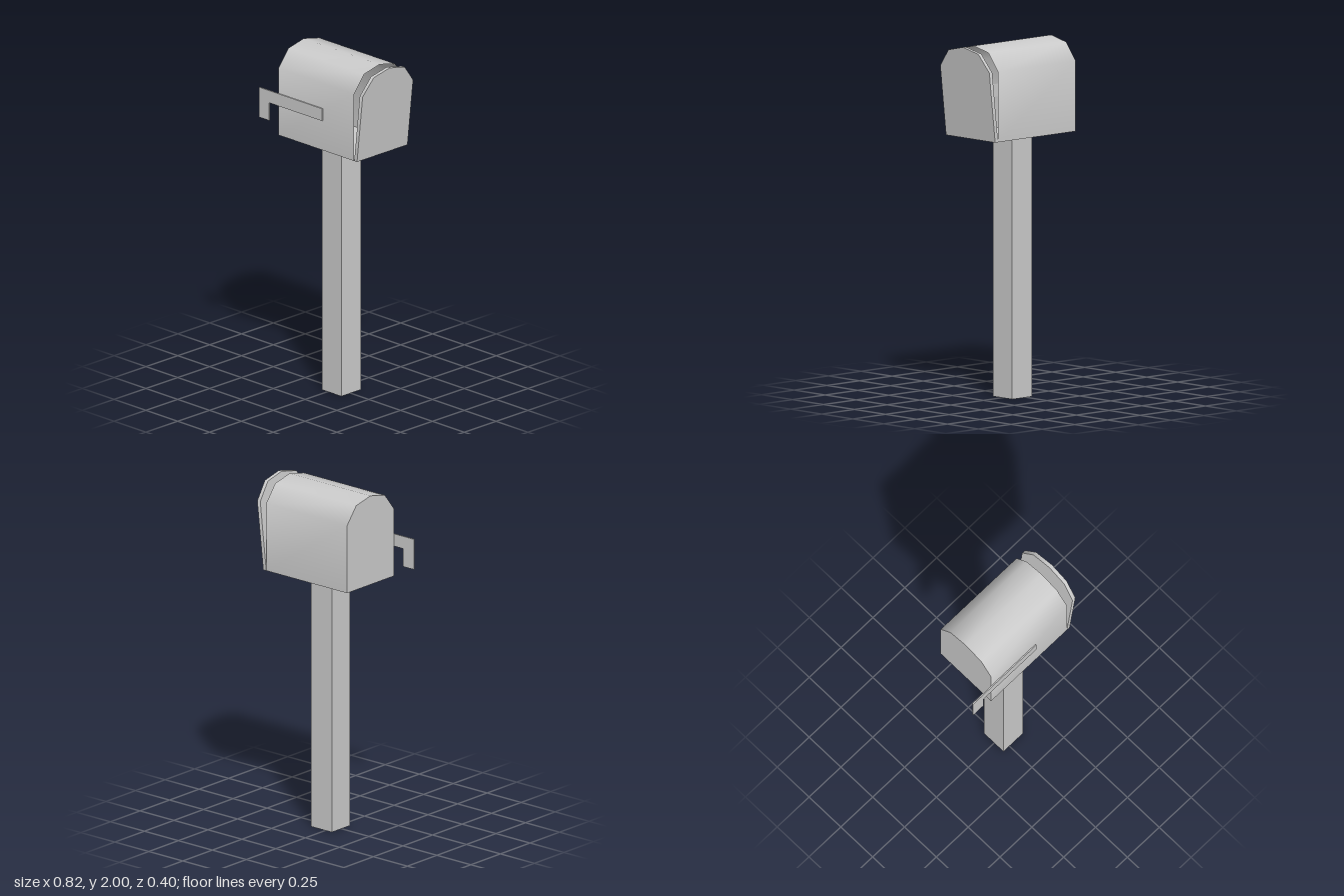
import * as THREE from 'three';
import { toCreasedNormals } from 'three/addons/utils/BufferGeometryUtils.js';

const BASE = 1.48, TOP = 2, ZC = -0.004;
// arched cross-section as (z, y), from the +z bottom corner over the roof
const PROFILE = [
  [0.198, BASE], [0.198, 1.875], [0.121, 1.973], [0, TOP],
  [-0.121, 1.973], [-0.198, 1.875], [-0.198, BASE],
];

export function createModel() {
  const group = new THREE.Group();
  const solid = new THREE.MeshStandardMaterial({ color: 0xcccccc });
  const thin = new THREE.MeshStandardMaterial({ color: 0xcccccc, side: THREE.DoubleSide });
  const flat = new THREE.MeshStandardMaterial({ color: 0xcccccc, side: THREE.DoubleSide, flatShading: true });
  const add = (name, geometry, material) => {
    const mesh = new THREE.Mesh(geometry, material);
    mesh.name = name;
    group.add(mesh);
    return mesh;
  };
  const shapeOf = (points) => new THREE.Shape(points.map(([a, b]) => new THREE.Vector2(a, b)));

  // post: square tube, open at the bottom
  const post = new THREE.CylinderGeometry(0.153 / Math.SQRT2, 0.153 / Math.SQRT2, BASE, 4, 1, true);
  post.rotateY(Math.PI / 4).translate(0.03, BASE / 2, ZC);
  add('post', post, flat);

  // box shell: thin walls, open towards the door
  const x0 = -0.265, x1 = 0.33, pos = [];
  PROFILE.forEach(([z, y], i) => {
    const [zn, yn] = PROFILE[(i + 1) % PROFILE.length];
    pos.push(x0, y, z, x1, y, z, x1, yn, zn, x0, y, z, x1, yn, zn, x0, yn, zn);
  });
  let shell = new THREE.BufferGeometry();
  shell.setAttribute('position', new THREE.Float32BufferAttribute(pos, 3));
  shell = toCreasedNormals(shell, 0.9);
  shell.translate(0, 0, ZC);
  add('boxShell', shell, thin);

  // closed end of the box
  const end = new THREE.ShapeGeometry(shapeOf(PROFILE));
  end.rotateY(-Math.PI / 2).translate(x0, 0, ZC);
  add('boxEnd', end, thin);

  // door: same outline, hinged at the bottom and leaning outwards
  let door = new THREE.ExtrudeGeometry(shapeOf(PROFILE), { depth: 0.022, bevelEnabled: false });
  door.rotateY(Math.PI / 2).translate(x1, 0, ZC);
  const p = door.attributes.position;
  for (let i = 0; i < p.count; i++) {
    p.setX(i, p.getX(i) + 0.058 * (p.getY(i) - BASE) / (TOP - BASE));
  }
  door = toCreasedNormals(door, 0.9);
  add('door', door, solid);

  // signal flag on the front wall
  const flag = new THREE.ExtrudeGeometry(shapeOf([
    [-0.412, 1.55], [-0.333, 1.55], [-0.333, 1.655],
    [0.083, 1.655], [0.083, 1.727], [-0.412, 1.727],
  ]), { depth: 0.007, bevelEnabled: false });
  flag.translate(0, 0, 0.194);
  add('flag', flag, solid);

  return group;
}
